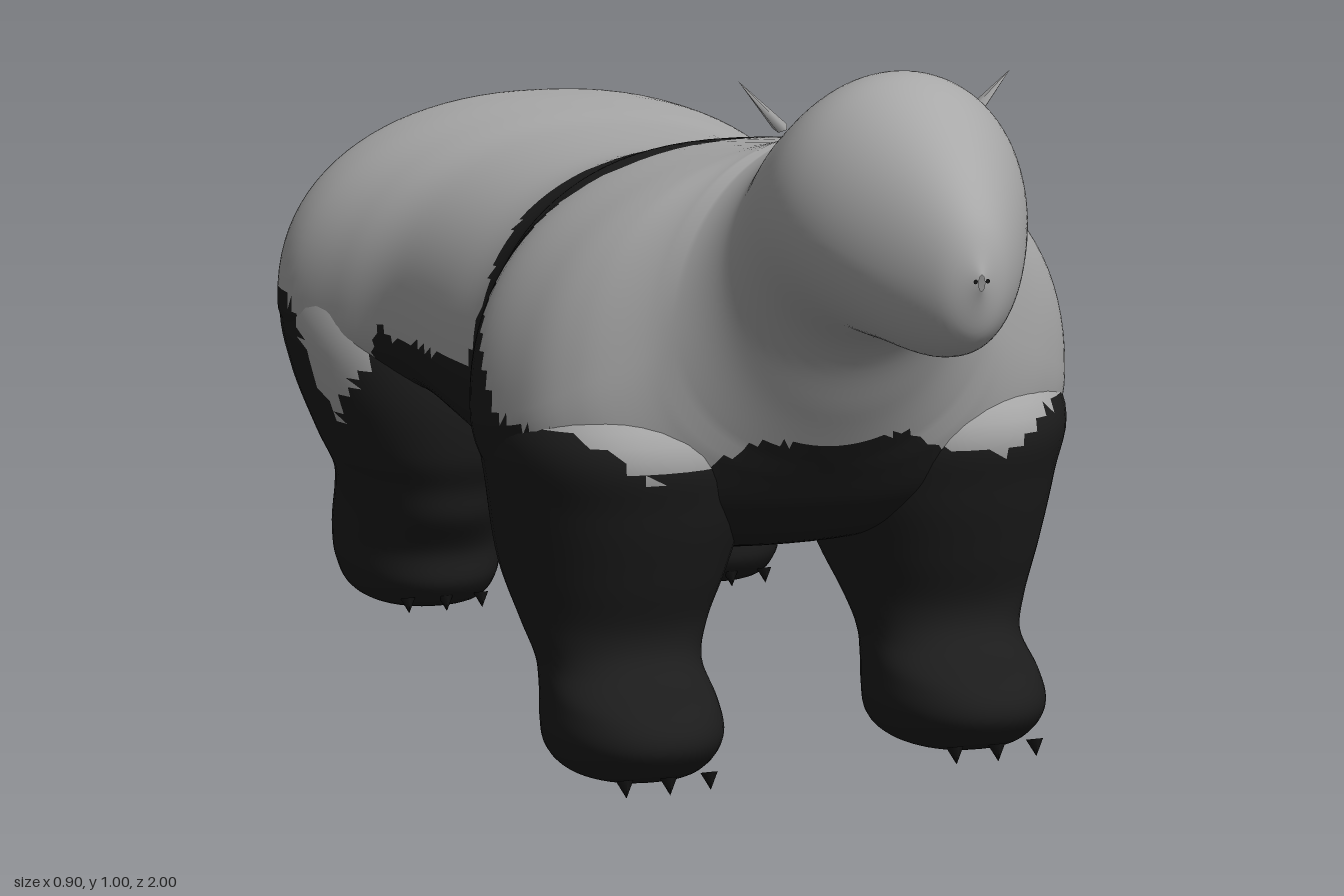
import * as THREE from 'three';

const grey = new THREE.MeshStandardMaterial({ color: 0xa8a8a8, side: THREE.DoubleSide });
grey.name = 'grey fur';
const dark = new THREE.MeshStandardMaterial({ color: 0x1c1c1c });
dark.name = 'dark fur';
const clawDark = new THREE.MeshStandardMaterial({ color: 0x141414 });
clawDark.name = 'claw black';

// Piecewise linear lookup over [key, value] pairs with rising keys
function interp(pairs, k) {
  if (k <= pairs[0][0]) return pairs[0][1];
  for (let i = 1; i < pairs.length; i++) {
    const [a, va] = pairs[i - 1], [b, vb] = pairs[i];
    if (k <= b) return va + (vb - va) * (k - a) / (b - a);
  }
  return pairs[pairs.length - 1][1];
}

// Edges of the dark fur: chest line over x, flank line over z, shoulder band over y
const chestLine = [[0, .47], [.1, .485], [.17, .45], [.23, .42], [.28, .45], [.33, .49], [.42, .5]];
const flankLine = [[-1, .46], [-.93, .5], [-.7, .5], [-.65, .46], [-.57, .32], [-.5, .41],
  [-.44, .5], [-.4, .48], [-.3, .49], [-.08, .5], [.3, .5]];
const bandFront = [[.48, .36], [.52, .32], [.58, .27], [.66, .22], [.77, .2], [.85, .24]];

function isDark(x, y, z) {
  const ax = Math.abs(x);
  if (y < .45 && ax < .25) return z < .54;
  if (y < (z > .35 ? interp(chestLine, ax) : interp(flankLine, z))) return true;
  const back = -.05 + (y > .72 ? .14 * Math.exp(-((x / .09) ** 2)) : .03 * Math.sin((y - .5) * 14));
  return z > back && z < interp(bandFront, y);
}

// Closed-ring surface; each face takes the fur colour found at its centre
function furLoft(name, nu, na, point) {
  const pos = [], light = [], shade = [];
  for (let i = 0; i <= nu; i++)
    for (let j = 0; j < na; j++) pos.push(...point(i / nu, j / na * Math.PI * 2));
  const add = (...tri) => {
    const c = [0, 1, 2].map(k => tri.reduce((s, v) => s + pos[v * 3 + k], 0) / 3);
    (isDark(...c) ? shade : light).push(...tri);
  };
  for (let i = 0; i < nu; i++)
    for (let j = 0; j < na; j++) {
      const k = (j + 1) % na, a = i * na, b = a + na;
      add(a + j, b + j, b + k);
      add(a + j, b + k, a + k);
    }
  const g = new THREE.BufferGeometry();
  g.setAttribute('position', new THREE.Float32BufferAttribute(pos, 3));
  g.setIndex([...light, ...shade]);
  g.addGroup(0, light.length, 0);
  g.addGroup(light.length, shade.length, 1);
  g.computeVertexNormals();
  const mesh = new THREE.Mesh(g, [grey, dark]);
  mesh.name = name;
  return mesh;
}

const curve = pts => new THREE.CatmullRomCurve3(pts.map(p => new THREE.Vector3(...p)), false, 'catmullrom', .5);
const power = (v, e) => Math.sign(v) * Math.abs(v) ** e;

// Body stations from nose to rump: z, bottom, top, half width, height of widest point
const bodyRows = [
  [1, .76, .78, .004, .77], [.97, .69, .85, .05, .77], [.9, .66, .92, .1, .78],
  [.8, .66, .985, .15, .81], [.72, .655, 1, .17, .82], [.63, .62, .96, .167, .8],
  [.56, .52, .915, .18, .72], [.5, .43, .895, .24, .62], [.45, .36, .88, .34, .56],
  [.38, .31, .87, .4, .52], [.25, .28, .855, .43, .5], [.1, .28, .835, .375, .5],
  [0, .285, .815, .345, .5], [-.15, .295, .79, .355, .5], [-.4, .33, .79, .365, .5],
  [-.55, .35, .8, .41, .48], [-.7, .36, .805, .45, .48], [-.82, .36, .795, .435, .48],
  [-.91, .37, .735, .375, .49], [-.97, .4, .65, .3, .5], [-1, .46, .56, .2, .51],
  [-1, .5, .52, .004, .51],
];

function makeBody() {
  const spans = curve(bodyRows.map(r => [r[0], r[1], r[2]]));
  const widths = curve(bodyRows.map(r => [r[3], r[4], 0]));
  return furLoft('body and head', 168, 96, (t, a) => {
    const s = spans.getPoint(t), w = widths.getPoint(t);
    const e = s.x > .5 ? 1 : .9;
    const x = Math.max(w.x, .002) * power(Math.cos(a), e);
    const sn = power(Math.sin(a), e);
    const y = w.y + sn * (sn > 0 ? s.z - w.y : w.y - s.y);
    // Cleft between the haunches
    const cleft = .045 * Math.exp(-((x / .1) ** 2)) * (1 - THREE.MathUtils.smoothstep(s.x, -1, -.85));
    return [x, y, THREE.MathUtils.clamp(s.x, -1, 1) + cleft];
  });
}

// Leg stations going down: y, centre x, x radius, centre z, z radius
const frontLegRows = [
  [.6, .23, .14, .27, .13], [.48, .235, .18, .285, .21], [.38, .23, .175, .275, .205],
  [.28, .235, .155, .27, .175], [.2, .24, .128, .29, .125], [.15, .24, .112, .31, .125],
  [.11, .24, .114, .35, .165], [.07, .24, .118, .365, .168], [.03, .24, .108, .35, .15],
  [.008, .24, .08, .34, .11], [.006, .24, .002, .34, .002],
];
const rearLegRows = [
  [.6, .25, .15, -.7, .17], [.48, .25, .195, -.71, .255], [.38, .245, .19, -.69, .262],
  [.28, .24, .162, -.67, .23], [.22, .24, .135, -.67, .203], [.17, .24, .125, -.695, .213],
  [.11, .24, .125, -.722, .2], [.05, .24, .12, -.72, .19], [.008, .24, .09, -.73, .14],
  [.006, .24, .002, -.73, .002],
];

function makeLeg(name, rows, side) {
  const axis = curve(rows.map(r => [r[1], r[0], r[3]]));
  const radii = curve(rows.map(r => [r[2], r[4], 0]));
  return furLoft(name, 60, 48, (t, a) => {
    const c = axis.getPoint(t), r = radii.getPoint(t);
    return [side * c.x + r.x * power(Math.cos(a), .9), Math.max(c.y, .004), c.z - r.y * power(Math.sin(a), .9)];
  });
}

// Small thin pointed ear leaning outward
function makeEar(side) {
  const g = new THREE.ConeGeometry(.024, .085, 5);
  g.scale(.35, 1, 1);
  const ear = new THREE.Mesh(g, grey);
  ear.position.set(side * .16, .955, .65);
  ear.rotation.z = -side * .75;
  ear.name = side > 0 ? 'leftEar' : 'rightEar';
  return ear;
}

export function createModel() {
  const model = new THREE.Group();
  model.name = 'bear';
  model.add(makeBody());

  const clawShape = new THREE.ConeGeometry(.012, .024, 6);
  clawShape.rotateX(Math.PI - .3);
  const nostrilShape = new THREE.CircleGeometry(.003, 8);
  for (const side of [1, -1]) {
    const word = side > 0 ? 'left' : 'right';
    model.add(makeLeg(word + 'FrontLeg', frontLegRows, side));
    model.add(makeLeg(word + 'RearLeg', rearLegRows, side));
    model.add(makeEar(side));

    // Three claws before each paw
    for (const [part, z] of [['FrontClaw', .525], ['RearClaw', -.545]])
      for (const x of [.18, .24, .3]) {
        const claw = new THREE.Mesh(clawShape, clawDark);
        claw.position.set(side * x, .022, z - Math.abs(x - .24) * .1);
        claw.name = word + part;
        model.add(claw);
      }

    const nostril = new THREE.Mesh(nostrilShape, clawDark);
    nostril.position.set(side * .008, .772, 1);
    nostril.name = word + 'Nostril';
    model.add(nostril);
  }

  // Stubby tail
  const tail = new THREE.Mesh(new THREE.CapsuleGeometry(.028, .06, 4, 10), grey);
  tail.position.set(0, .71, -.915);
  tail.rotation.x = -.35;
  tail.name = 'tail';
  model.add(tail);
  return model;
}
